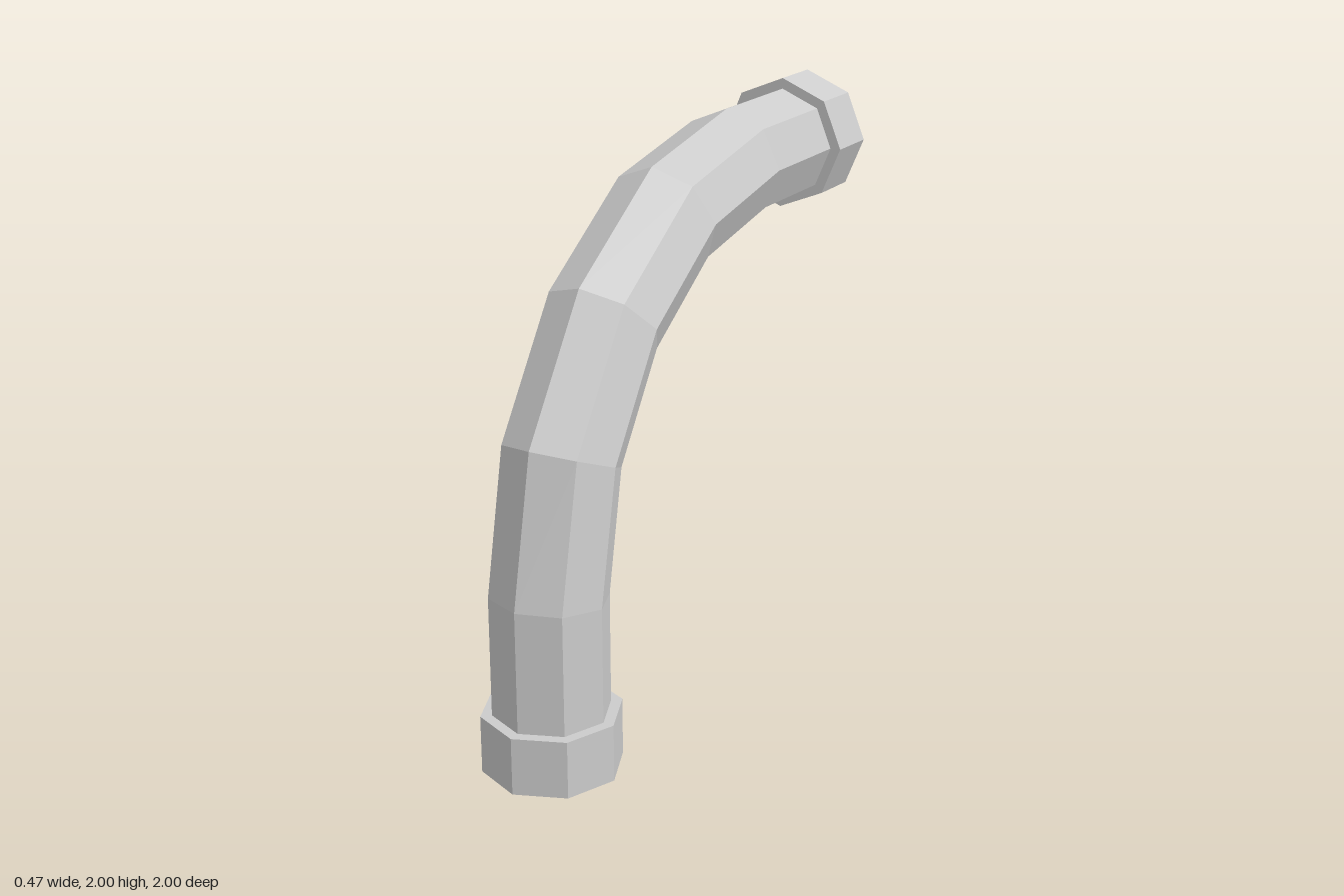
import * as THREE from 'three';

const SIDES = 8;
const PIPE_R = 0.197;
const COLLAR_R = 0.235;
const AXIS = 0.765;          // offset of both straight runs' centre lines
const BEND = { y: 0.6, z: -0.4, r: 1.165 };

const material = new THREE.MeshStandardMaterial({
  color: 0xcccccc, flatShading: true, side: THREE.DoubleSide,
});

// Hollow octagonal pipe: straight run, four-segment quarter bend, straight run
function pipeGeometry() {
  const steps = 4;
  const half = Math.PI / 4 / steps / 2; // mitre tilt where the bend meets a straight run
  const rings = [{ y: 0, z: AXIS, tilt: 0 }];
  for (let i = 0; i <= steps; i++) {
    const a = (i / steps) * Math.PI / 2;
    const tilt = i === 0 ? half : i === steps ? a - half : a;
    rings.push({ y: BEND.y + BEND.r * Math.sin(a), z: BEND.z + BEND.r * Math.cos(a), tilt });
  }
  rings.push({ y: 2 - COLLAR_R, z: -1, tilt: Math.PI / 2 });

  const positions = [];
  const index = [];
  rings.forEach(({ y, z, tilt }, r) => {
    for (let s = 0; s < SIDES; s++) {
      const t = (s / SIDES) * Math.PI * 2;
      const out = PIPE_R * Math.cos(t); // distance toward the outside of the bend
      positions.push(PIPE_R * Math.sin(t), y + out * Math.sin(tilt), z + out * Math.cos(tilt));
      if (r === 0) continue;
      const n = (s + 1) % SIDES;
      const a = (r - 1) * SIDES + s, b = (r - 1) * SIDES + n;
      const c = r * SIDES + n, d = r * SIDES + s;
      index.push(a, b, c, a, c, d);
    }
  });
  const geometry = new THREE.BufferGeometry();
  geometry.setAttribute('position', new THREE.Float32BufferAttribute(positions, 3));
  geometry.setIndex(index);
  geometry.computeVertexNormals();
  return geometry;
}

// Collar: outer wall with two annular end faces around the pipe
function collarGeometry() {
  const profile = [[PIPE_R, 0], [COLLAR_R, 0], [COLLAR_R, 0.2], [PIPE_R, 0.2]];
  return new THREE.LatheGeometry(profile.map(([x, y]) => new THREE.Vector2(x, y)), SIDES);
}

export function createModel() {
  const group = new THREE.Group();
  group.name = 'pipeElbow';

  const add = (name, geometry) => {
    const mesh = new THREE.Mesh(geometry, material);
    mesh.name = name;
    group.add(mesh);
    return mesh;
  };

  add('bentPipe', pipeGeometry());

  const collar = collarGeometry();
  add('bottomCollar', collar).position.set(0, 0, AXIS);

  const top = add('topCollar', collar);
  top.rotation.x = -Math.PI / 2;
  top.position.set(0, 2 - COLLAR_R, -0.8);

  return group;
}
